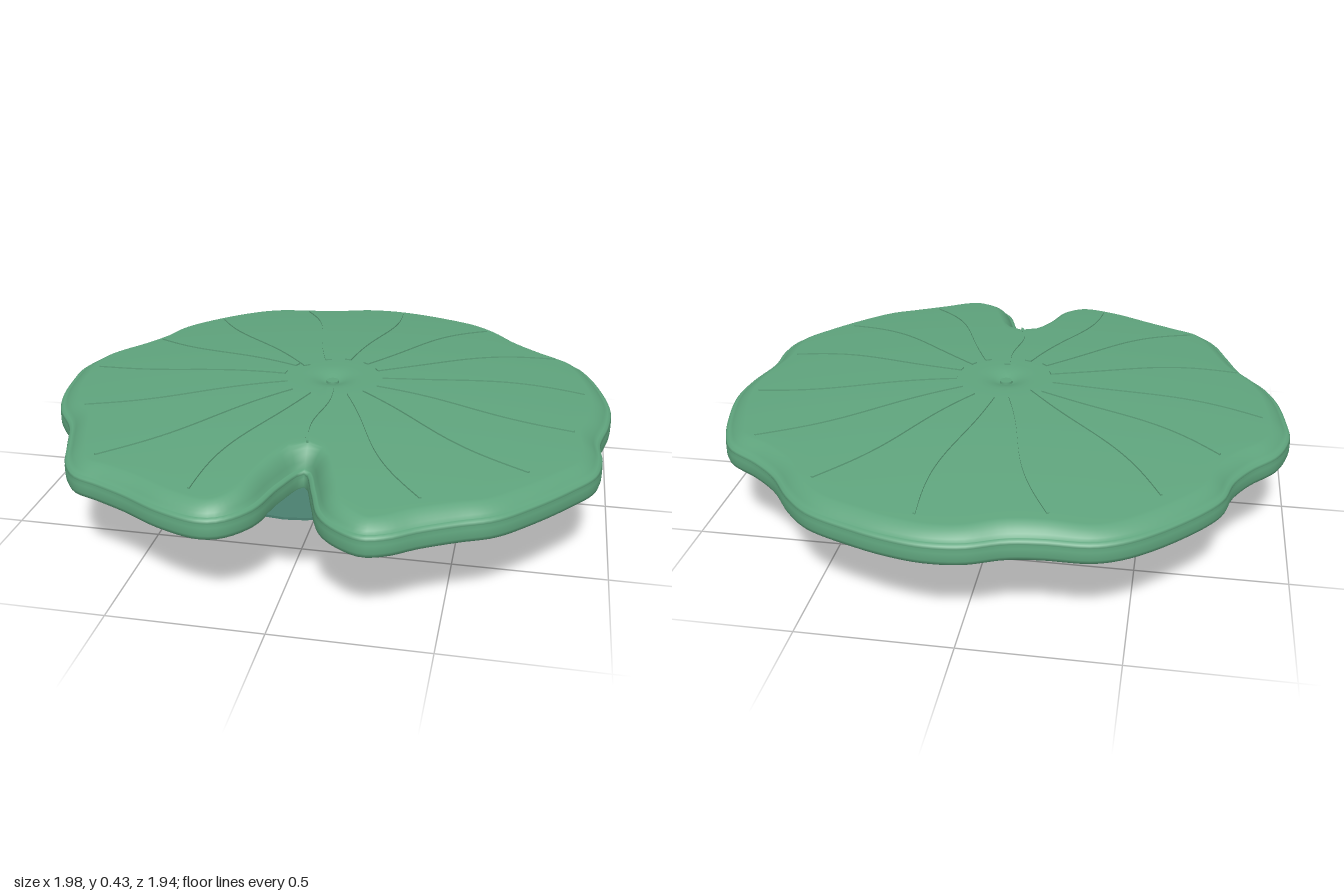
import * as THREE from 'three';

const V = (x, y, z) => new THREE.Vector3(x, y, z);
const CX = 0.012, CZ = 0.02; // middle of the leaf

// Skin a list of equal-length closed loops, first to last
function loft(loops) {
  const n = loops[0].length, pos = [], index = [];
  loops.forEach(loop => loop.forEach(p => pos.push(p.x, p.y, p.z)));
  for (let i = 0; i < loops.length - 1; i++) {
    for (let j = 0; j < n; j++) {
      const a = i * n + j, b = i * n + (j + 1) % n;
      index.push(a, b, b + n, a, b + n, a + n);
    }
  }
  const g = new THREE.BufferGeometry();
  g.setAttribute('position', new THREE.Float32BufferAttribute(pos, 3));
  g.setIndex(index);
  g.computeVertexNormals();
  return g;
}

// A loop shrunk to a single point closes an end
const pointLoop = (n, p) => Array.from({ length: n }, () => p.clone());

// Height of the domed upper face, with a dimple in the middle
function dome(x, z) {
  const r = Math.hypot(x - CX, z - CZ);
  return 0.43 - 0.07 * r * r - 0.025 * Math.exp(-((r / 0.055) ** 2));
}

// Wavy leaf outline [x, z], starting at the bottom of the notch
const outline = [
  [0.03, 0.59], [0.08, 0.72], [0.125, 0.85], [0.18, 0.915], [0.275, 0.965], [0.35, 0.945],
  [0.43, 0.89], [0.54, 0.83], [0.645, 0.78], [0.75, 0.68], [0.86, 0.55], [0.935, 0.44],
  [0.955, 0.32], [0.95, 0.2], [0.98, 0.05], [0.99, -0.09], [0.965, -0.24], [0.915, -0.4],
  [0.865, -0.49], [0.75, -0.57], [0.66, -0.65], [0.575, -0.765], [0.485, -0.85], [0.325, -0.92],
  [0.215, -0.955], [0.095, -0.975], [-0.025, -0.965], [-0.14, -0.92], [-0.24, -0.905], [-0.39, -0.9],
  [-0.48, -0.865], [-0.585, -0.785], [-0.72, -0.64], [-0.77, -0.56], [-0.8, -0.455], [-0.855, -0.36],
  [-0.945, -0.25], [-0.99, -0.11], [-0.985, 0], [-0.96, 0.16], [-0.915, 0.28], [-0.835, 0.4],
  [-0.785, 0.535], [-0.735, 0.67], [-0.675, 0.75], [-0.585, 0.79], [-0.48, 0.84], [-0.345, 0.915],
  [-0.21, 0.957], [-0.14, 0.94], [-0.065, 0.855], [-0.02, 0.7],
];

function leafGeometry() {
  const N = 260;
  const curve = new THREE.CatmullRomCurve3(outline.map(([x, z]) => V(x, 0, z)), true);
  const edge = curve.getSpacedPoints(N).slice(0, N);
  // Inward directions, averaged over neighbours so the corners stay clean
  const inward = edge.map((_, j) => {
    const a = edge[(j + N - 3) % N], b = edge[(j + 3) % N];
    return V(b.z - a.z, 0, a.x - b.x).normalize();
  });
  const inset = (d, yOf) => edge.map((p, j) => {
    const q = p.clone().addScaledVector(inward[j], d);
    q.y = yOf(q);
    return q;
  });
  const shrink = (loop, k, yOf) => loop.map(p => {
    const q = V(CX + (p.x - CX) * k, 0, CZ + (p.z - CZ) * k);
    q.y = yOf(q);
    return q;
  });
  const under = inset(0.07, () => 0.28);
  const loops = [pointLoop(N, V(CX, 0.284, CZ)), shrink(under, 0.5, () => 0.284), under];
  // Rounded rim with a fine groove: [inset, height]
  const rim = [[0.035, 0.27], [0.015, 0.267], [0.004, 0.272], [0, 0.285], [0, 0.312],
    [0.006, 0.321], [0.001, 0.326], [0.004, 0.334], [0.014, 0.339], [0.018, 0.338]];
  rim.forEach(([d, y]) => loops.push(inset(d, () => y)));
  // Shoulder rising from the rim to the dome
  for (const [d, t] of [[0.026, 0.3], [0.036, 0.58], [0.048, 0.8], [0.06, 0.94], [0.07, 1]]) {
    loops.push(inset(d, q => THREE.MathUtils.lerp(0.338, dome(q.x, q.z), t)));
  }
  const top = loops[loops.length - 1];
  for (const k of [0.93, 0.85, 0.75, 0.65, 0.55, 0.45, 0.35, 0.25, 0.18, 0.13, 0.1, 0.075, 0.05, 0.025]) {
    loops.push(shrink(top, k, q => dome(q.x, q.z)));
  }
  loops.push(pointLoop(N, V(CX, dome(CX, CZ), CZ)));
  return loft(loops);
}

// Veins: start x, z, end x, z, sideways bow
const veins = [
  [-0.16, 0.01, -0.895, -0.05, 0.022], [-0.135, -0.07, -0.75, -0.36, 0.025],
  [-0.1, -0.07, -0.575, -0.645, 0.02], [-0.035, -0.14, -0.25, -0.81, -0.025],
  [0.035, -0.155, 0.14, -0.87, -0.025], [0.105, -0.13, 0.505, -0.71, 0.025],
  [0.155, -0.075, 0.785, -0.455, 0.035], [0.185, -0.01, 0.895, -0.12, 0.03],
  [0.18, 0.065, 0.86, 0.215, -0.02], [0.145, 0.12, 0.725, 0.54, -0.04],
  [0.1, 0.16, 0.42, 0.775, -0.035], [0.025, 0.13, 0.03, 0.53, -0.008],
  [-0.045, 0.175, -0.265, 0.845, -0.03], [-0.11, 0.15, -0.63, 0.67, 0.03],
  [-0.14, 0.08, -0.81, 0.31, 0.03],
];

function veinGeometry([x0, z0, x1, z1, bow]) {
  const d = V(x1 - x0, 0, z1 - z0).normalize();
  const side = V(d.z, 0, -d.x); // left of the vein as it runs outward
  const steps = 24, loops = [];
  for (let i = 0; i <= steps; i++) {
    const t = i / steps, w = THREE.MathUtils.lerp(0.012, 0.004, t);
    const off = bow * Math.sin(Math.PI * t) - 0.012 * Math.sign(bow) * Math.sin(2 * Math.PI * t);
    const c = V(x0 + (x1 - x0) * t, 0, z0 + (z1 - z0) * t).addScaledVector(side, off);
    const y = dome(c.x, c.z);
    loops.push([[-w, -0.008], [w, -0.008], [w, 0.005], [-w, 0.005]].map(([s, h]) => {
      const p = c.clone().addScaledVector(side, s);
      p.y = y + h;
      return p;
    }));
  }
  const mid = loop => loop[0].clone().add(loop[2]).multiplyScalar(0.5);
  const g = loft([pointLoop(4, mid(loops[0])), ...loops, pointLoop(4, mid(loops[steps]))]).toNonIndexed();
  g.computeVertexNormals();
  return g;
}

// Leaning stem: x, y, z, radius
function stemGeometry() {
  const path = [[-0.083, 0.006, -0.033, 0.026], [-0.072, 0.05, -0.028, 0.028], [-0.055, 0.12, -0.016, 0.031],
    [-0.038, 0.19, -0.002, 0.035], [-0.028, 0.228, 0.008, 0.034], [-0.014, 0.248, 0.014, 0.026],
    [0.004, 0.264, 0.019, 0.026], [0.014, 0.286, 0.02, 0.03]];
  const n = 20;
  const loops = path.map(([x, y, z, r], i) => Array.from({ length: n }, (_, j) => {
    const a = j / n * Math.PI * 2, c = Math.cos(a) * r;
    return V(x + c, y - c * (i < 5 ? 0.22 : 0.1), z - Math.sin(a) * r);
  }));
  const foot = loops[0].map(p => p.clone());
  return loft([pointLoop(n, V(-0.083, 0.006, -0.033)), foot, ...loops]);
}

// Thin plate below the leaf, widest along x and z
function plateGeometry() {
  const g = new THREE.CylinderGeometry(1, 1, 0.008, 72), p = g.attributes.position;
  for (let i = 0; i < p.count; i++) {
    const r = 0.695 + 0.085 * Math.cos(4 * Math.atan2(p.getZ(i), p.getX(i)));
    p.setXYZ(i, p.getX(i) * r, p.getY(i), p.getZ(i) * r);
  }
  g.computeVertexNormals();
  return g;
}

export function createModel() {
  const material = (name, color) => Object.assign(new THREE.MeshStandardMaterial({ color }), { name });
  const leafGreen = material('leafGreen', 0x5fa47d);
  const deepGreen = material('deepGreen', 0x4a8070);
  const stemGreen = material('stemGreen', 0x7f9f70);

  const model = new THREE.Group();
  model.name = 'lilyPad';
  const add = (name, geometry, mat, parent = model) => {
    const mesh = new THREE.Mesh(geometry, mat);
    mesh.name = name;
    parent.add(mesh);
    return mesh;
  };

  add('leaf', leafGeometry(), leafGreen);
  const veinGroup = new THREE.Group();
  veinGroup.name = 'veins';
  model.add(veinGroup);
  veins.forEach(v => add('vein', veinGeometry(v), leafGreen, veinGroup));
  add('centreNub', new THREE.CylinderGeometry(0.022, 0.025, 0.03, 20), leafGreen).position.set(CX, 0.402, CZ);
  add('undersidePlate', plateGeometry(), deepGreen).position.set(CX, 0.276, 0.01);
  add('stem', stemGeometry(), stemGreen);
  return model;
}
